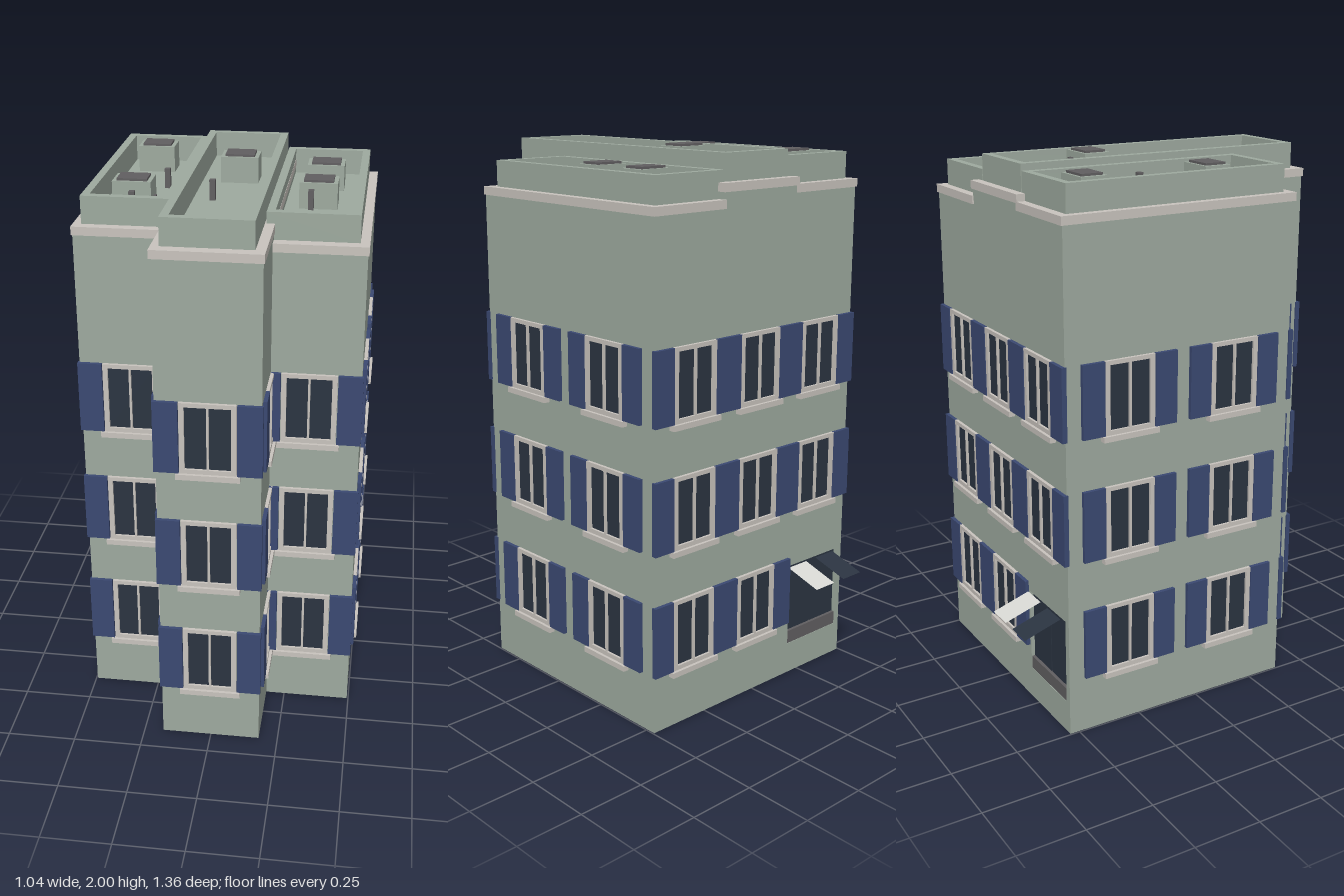
import * as THREE from 'three';

const mat = (name, color, side = THREE.FrontSide) => {
  const m = new THREE.MeshStandardMaterial({ color, side });
  m.name = name;
  return m;
};

export function createModel() {
  const wall = mat('sage wall', 0x9eaa9f);
  const trim = mat('warm stone trim', 0xc9c4be);
  const blue = mat('navy shutter', 0x3b4972);
  const glass = mat('dark glass', 0x2b3441, THREE.DoubleSide);
  const grey = mat('roof metal', 0x615f61);
  const pale = mat('pale canopy', 0xd9d9d4, THREE.DoubleSide);

  const building = new THREE.Group();
  building.name = 'building';

  const add = (parent, name, geometry, material) => {
    const mesh = new THREE.Mesh(geometry, material);
    mesh.name = name;
    parent.add(mesh);
    return mesh;
  };

  // Box from its minimum and maximum corners
  const box = (parent, name, material, x0, x1, y0, y1, z0, z1) => {
    const g = new THREE.BoxGeometry(x1 - x0, y1 - y0, z1 - z0);
    g.translate((x0 + x1) / 2, (y0 + y1) / 2, (z0 + z1) / 2);
    return add(parent, name, g, material);
  };

  const rect = (Type, x0, x1, y0, y1) => {
    const s = new Type();
    s.moveTo(x0, y0);
    s.lineTo(x1, y0);
    s.lineTo(x1, y1);
    s.lineTo(x0, y1);
    s.closePath();
    return s;
  };

  // Rectangular plate with rectangular openings, facing z
  const pierced = (x0, x1, y0, y1, depth, holes) => {
    const s = rect(THREE.Shape, x0, x1, y0, y1);
    holes.forEach(h => s.holes.push(rect(THREE.Path, ...h)));
    return new THREE.ExtrudeGeometry(s, { depth, bevelEnabled: false });
  };

  // Upright rectangular ring of walls
  const ring = (parent, name, material, x0, x1, z0, z1, t, y0, y1) => {
    const g = pierced(x0, x1, -z1, -z0, y1 - y0, [[x0 + t, x1 - t, -z1 + t, -z0 - t]]);
    g.rotateX(-Math.PI / 2);
    g.translate(0, y0, 0);
    return add(parent, name, g, material);
  };

  // Three adjoining blocks: body, trim band, parapet and recessed roof
  const T = 0.025, BACK = -0.535;
  const blocks = [
    { name: 'rightBlock', x: [-0.495, -0.18], front: 0.38, top: 1.87, px: [-0.47, -0.16], pz: 0.35, pTop: 1.967, door: true },
    { name: 'centreBlock', x: [-0.18, 0.18], front: 0.655, top: 1.895, px: [-0.155, 0.15], pz: 0.62, pTop: 1.99 },
    { name: 'leftBlock', x: [0.18, 0.495], front: 0.38, top: 1.84, px: [0.155, 0.467], pz: 0.345, pTop: 1.935 },
  ];
  const door = [-0.47, -0.195, 0.12, 0.44];
  for (const b of blocks) {
    const g = new THREE.Group();
    g.name = b.name;
    building.add(g);
    const [x0, x1] = b.x, h = b.top - 0.03;
    box(g, 'sideWall', wall, x0, x0 + T, 0, h, BACK + T, b.front - T);
    box(g, 'sideWall', wall, x1 - T, x1, 0, h, BACK + T, b.front - T);
    box(g, 'frontWall', wall, x0, x1, 0, h, b.front - T, b.front);
    const back = pierced(x0, x1, 0, h, T, b.door ? [door] : []);
    back.translate(0, 0, BACK);
    add(g, 'backWall', back, wall);
    ring(g, 'trimBand', trim, x0 - 0.004, x1 + 0.004, BACK - 0.006, b.front + 0.005, 0.05, h, b.top);
    ring(g, 'parapet', wall, b.px[0], b.px[1], -0.508, b.pz, 0.028, b.top, b.pTop);
    box(g, 'roof', wall, b.px[0] + 0.01, b.px[1] - 0.01, h + 0.005, b.top + 0.003, -0.49, b.pz - 0.01);
  }

  // Window with frame, paired panes, sill and two shutters; faces local +z
  const frameGeo = pierced(-0.097, 0.097, 0, 0.262, 0.012,
    [[-0.079, -0.004, 0.016, 0.247], [0.004, 0.079, 0.016, 0.247]]);
  const addWindow = (x, y, z, angle) => {
    const w = new THREE.Group();
    w.name = 'window';
    w.position.set(x, y, z);
    w.rotation.y = angle;
    building.add(w);
    add(w, 'frame', frameGeo, trim);
    box(w, 'panes', glass, -0.085, 0.085, 0.01, 0.252, -0.004, 0.003);
    box(w, 'sill', trim, -0.11, 0.11, -0.02, 0, -0.005, 0.023);
    for (const s of [-1, 1]) {
      const c = s * 0.1425;
      box(w, 'shutter', blue, c - 0.043, c + 0.043, 0, 0.262, -0.004, 0.014);
    }
  };

  for (let floor = 0; floor < 3; floor++) {
    const y = 0.214 + floor * 0.45;
    for (const x of [-0.315, 0, 0.315]) {
      addWindow(x, y, x === 0 ? 0.655 : 0.38, 0);
      if (floor > 0 || x >= 0) addWindow(x, y, BACK, Math.PI);
    }
    for (const s of [-1, 1]) {
      for (const z of [0.137, -0.29]) addWindow(s * 0.495, y, z, s * Math.PI / 2);
      addWindow(s * 0.18, y, 0.438, s * Math.PI / 2);
    }
  }

  // Back entrance: floor slab, glazed doors and two sloping canopies
  box(building, 'entranceFloor', grey, -0.47, -0.195, 0.12, 0.17, BACK + 0.002, 0.355);
  for (const [a, b] of [[-0.47, -0.335], [-0.33, -0.195]])
    box(building, 'entranceDoor', glass, a, b, 0.17, 0.44, BACK + 0.014, BACK + 0.022);
  for (const [x, m] of [[-0.39, glass], [-0.237, pale]]) {
    const canopy = add(building, 'canopy', new THREE.PlaneGeometry(0.1, 0.148), m);
    canopy.position.set(x, 0.413, -0.609);
    canopy.rotation.x = -Math.PI / 2 - 0.31;
  }

  // Roof hatches with metal lids
  const hatches = [[-0.332, -0.364, 0], [-0.332, 0.12, 0], [0.009, -0.16, 1], [0.313, -0.293, 2], [0.302, -0.055, 2]];
  for (const [x, z, i] of hatches) {
    const { top, pTop } = blocks[i];
    box(building, 'hatch', wall, x - 0.068, x + 0.068, top, pTop + 0.002, z - 0.05, z + 0.05);
    box(building, 'hatchLid', grey, x - 0.053, x + 0.053, pTop + 0.002, pTop + 0.01, z - 0.04, z + 0.04);
  }
  box(building, 'roofUnit', grey, -0.355, -0.255, 1.87, 1.91, 0.11, 0.21);

  // Vent pipes
  const pipes = [[-0.253, -0.105, 0], [-0.387, 0.043, 0], [-0.325, 0.2, 0], [-0.006, -0.25, 1], [0.037, -0.213, 1],
    [-0.058, 0.11, 1], [0.248, -0.167, 2], [0.302, -0.11, 2], [0.277, 0.0, 2]];
  for (const [x, z, i] of pipes) {
    const { top } = blocks[i];
    box(building, 'ventPipe', grey, x - 0.01, x + 0.01, top, top + 0.075, z - 0.01, z + 0.01);
  }

  return building;
}
